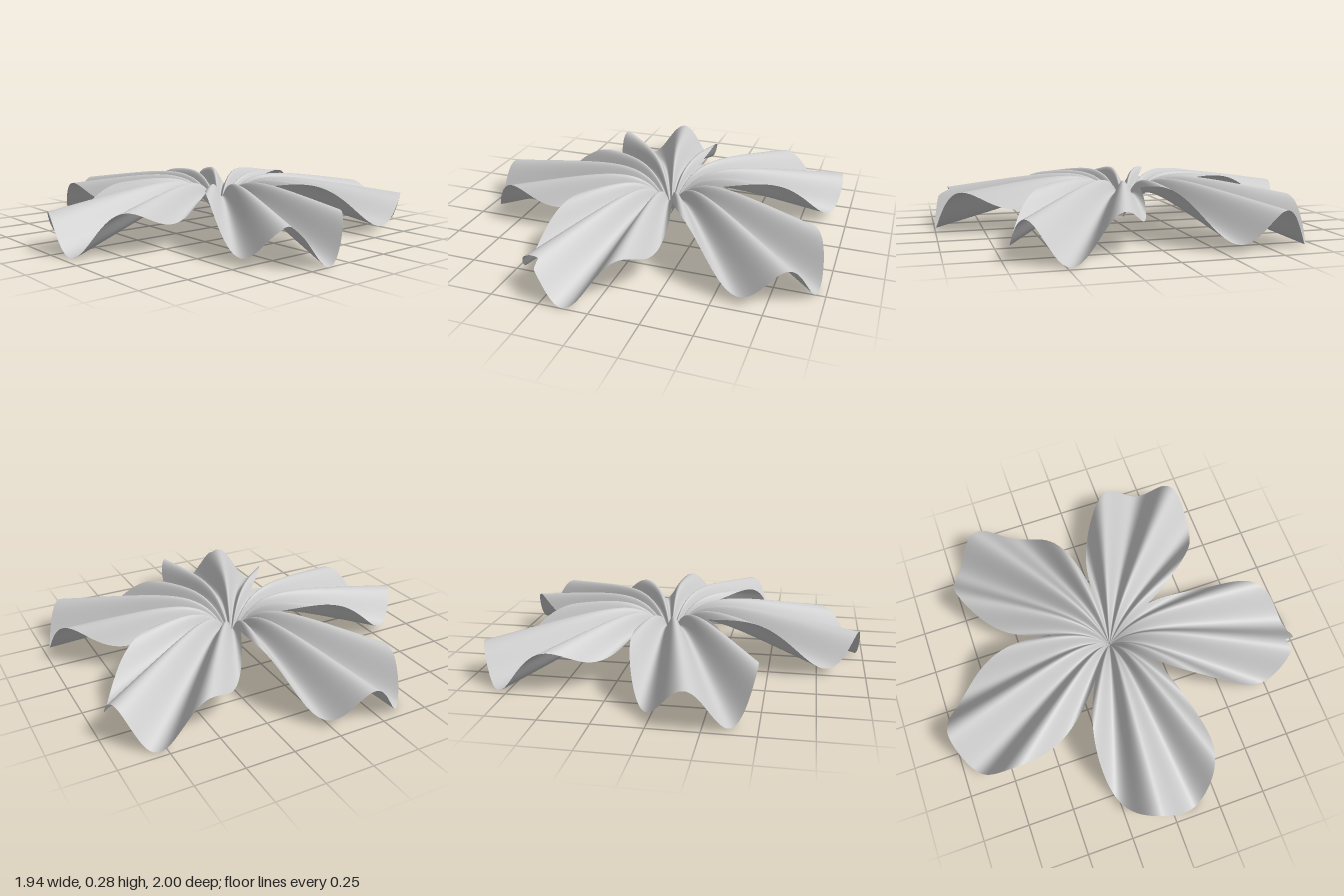
import * as THREE from 'three';

const RAD = Math.PI / 180;
const PETALS = 5;
const RIPPLES = 15;
const AXIS = 34.5;            // heading of the first petal, degrees from +x towards +z
const CENTRE = [0.06, -0.01]; // heart of the flower in x and z

// Outline: five rounded lobes, with a small nick in the front petal
function rimRadius(deg) {
  const step = 360 / PETALS;
  const offset = (((deg - AXIS + step / 2) % step) + step) % step - step / 2;
  const lobe = 1.035 * (1 - 0.73 * Math.pow(Math.abs(offset) / 36, 2.3));
  const fromNick = deg - 110.5;
  const nick = fromNick < 0 ? 1 + fromNick / 1.2 : 1 - fromNick / 4;
  return lobe - 0.05 * Math.max(0, nick);
}

// Height: ridges climb out of the heart, then droop; folds deepen outwards
function height(r, deg) {
  const ridge = 0.05 + 0.316 * (1 - Math.exp(-r / 0.12)) - 0.161 * r;
  const fold = 0.097 * Math.pow(r / 1.03, 0.7);
  const valley = Math.cos((deg - 4.5) * RIPPLES * RAD);
  return ridge - fold * (1 + valley);
}

// One pleated sheet, swept round the heart
function pleatedSheet(around = 720, out = 28) {
  const positions = [];
  const indices = [];
  for (let i = 0; i < around; i++) {
    const deg = (i / around) * 360;
    const rim = rimRadius(deg);
    for (let j = 0; j <= out; j++) {
      const r = rim * Math.pow(j / out, 1.3);
      positions.push(
        CENTRE[0] + r * Math.cos(deg * RAD),
        height(r, deg),
        CENTRE[1] + r * Math.sin(deg * RAD)
      );
    }
  }
  const row = out + 1;
  for (let i = 0; i < around; i++) {
    const next = (i + 1) % around;
    for (let j = 0; j < out; j++) {
      const a = i * row + j, b = next * row + j;
      indices.push(a, b + 1, a + 1);
      if (j > 0) indices.push(a, b, b + 1);
    }
  }
  const geometry = new THREE.BufferGeometry();
  geometry.setAttribute('position', new THREE.Float32BufferAttribute(positions, 3));
  geometry.setIndex(indices);
  geometry.computeVertexNormals();
  return geometry;
}

export function createModel() {
  const flower = new THREE.Group();
  flower.name = 'flower';
  const material = new THREE.MeshStandardMaterial({ color: 0xcccccc, side: THREE.DoubleSide });
  const geometry = pleatedSheet();

  // Turn the winding over so the upper side is the front
  const index = geometry.index;
  for (let i = 0; i < index.count; i += 3) {
    const b = index.getX(i + 1);
    index.setX(i + 1, index.getX(i + 2));
    index.setX(i + 2, b);
  }
  geometry.computeVertexNormals();

  const petals = new THREE.Mesh(geometry, material);
  petals.name = 'petals';
  flower.add(petals);
  return flower;
}
